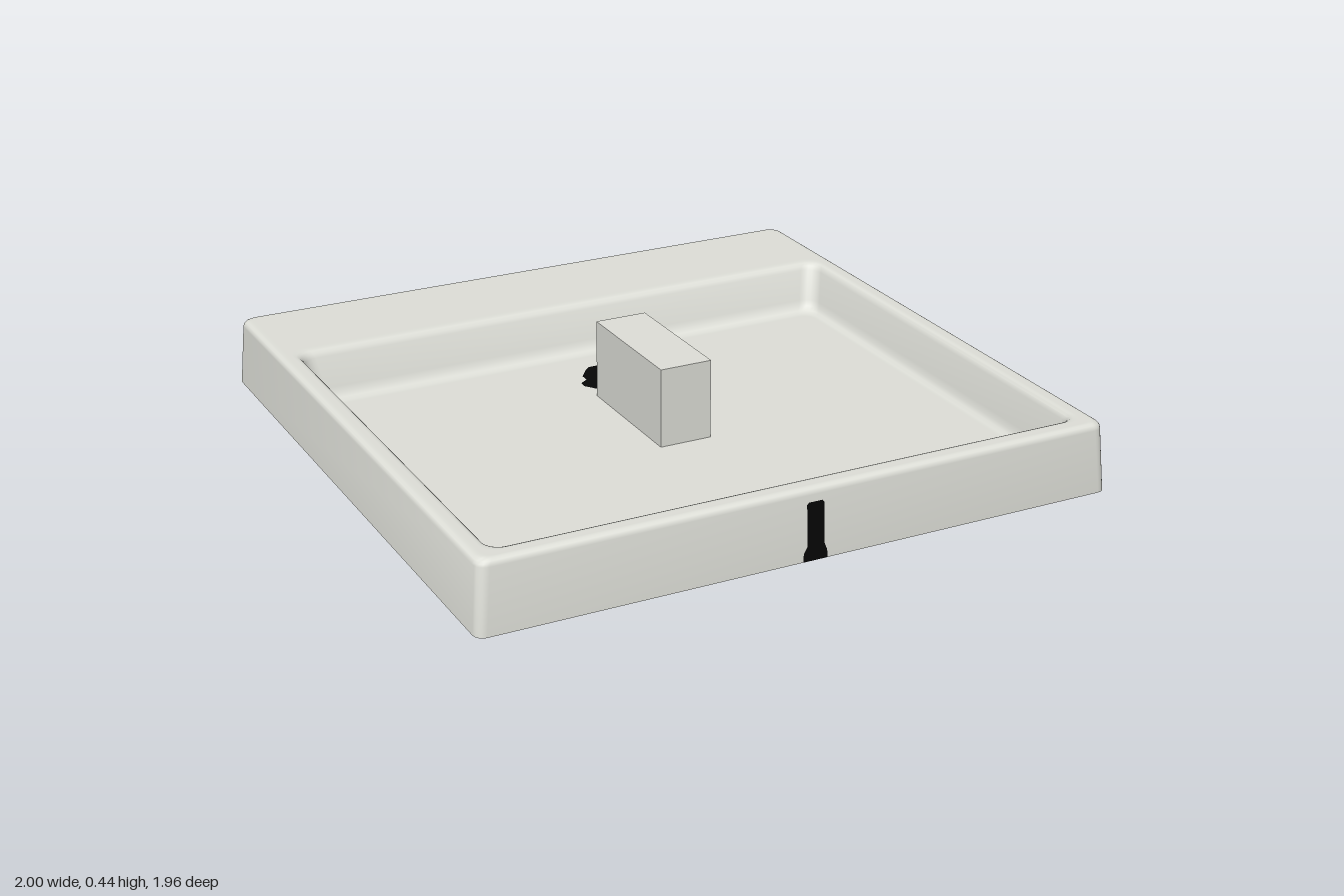
import * as THREE from 'three';
import { toCreasedNormals } from 'three/addons/utils/BufferGeometryUtils.js';

const CORNER = 6; // segments per rounded corner
const FLOOR = 0.186; // height of the basin floor

// Rounded rectangle ring at height y: [x half width, z back, z front, corner radius, y]
function ring([hx, zb, zf, r, y]) {
  const points = [];
  const centres = [[hx - r, zf - r], [r - hx, zf - r], [r - hx, zb + r], [hx - r, zb + r]];
  centres.forEach(([cx, cz], q) => {
    for (let i = 0; i <= CORNER; i++) {
      const a = (q + i / CORNER) * Math.PI / 2;
      points.push(cx + r * Math.cos(a), y, cz + r * Math.sin(a));
    }
  });
  return points;
}

// Skin a list of rings, closing the first and last with a fan
function loft(rings) {
  const n = 4 * (CORNER + 1);
  const pos = rings.flatMap(ring);
  const index = [];
  for (let k = 0; k < rings.length - 1; k++) {
    for (let i = 0; i < n; i++) {
      const a = k * n + i, b = k * n + (i + 1) % n;
      index.push(a, a + n, b, b, a + n, b + n);
    }
  }
  const end = (rings.length - 1) * n;
  const c = pos.length / 3;
  for (const r of [rings[0], rings[rings.length - 1]]) pos.push(0, r[4], (r[1] + r[2]) / 2);
  for (let i = 0; i < n; i++) {
    const j = (i + 1) % n;
    index.push(c, i, j, c + 1, end + j, end + i);
  }
  const g = new THREE.BufferGeometry();
  g.setAttribute('position', new THREE.Float32BufferAttribute(pos, 3));
  g.setIndex(index);
  return toCreasedNormals(g, 0.75);
}

function trayGeometry() {
  const rings = [[0.998, -0.978, 0.978, 0.03, 0.125]];
  // outer wall up to a rounded top edge
  for (let i = 0; i <= 4; i++) {
    const a = i / 4 * Math.PI / 2, d = 0.013 + 0.02 * (1 - Math.cos(a));
    rings.push([0.998 - d, d - 0.978, 0.978 - d, 0.035, 0.32 + 0.02 * Math.sin(a)]);
  }
  rings.push([0.955, -0.935, 0.943, 0.035, 0.34], [0.943, -0.625, 0.922, 0.05, 0.34]);
  // lip, sloping basin wall and floor cove: [inward share, height share]
  const cove = [[0, 1], [0.12, 0.985], [0.22, 0.94], [0.3, 0.86], [0.62, 0.24],
    [0.7, 0.12], [0.82, 0.04], [1, 0]];
  for (const [t, h] of cove) {
    rings.push([0.935 - 0.06 * t, -0.608 + 0.085 * t, 0.912 - 0.052 * t, 0.05,
      FLOOR + (0.34 - FLOOR) * h]);
  }
  rings.push([0.86, -0.505, 0.845, 0.04, FLOOR]);
  return loft(rings);
}

export function createModel() {
  const model = new THREE.Group();
  const ceramic = new THREE.MeshStandardMaterial({ color: 0xdedfd8, side: THREE.DoubleSide });
  const black = new THREE.MeshStandardMaterial({ color: 0x060606, side: THREE.DoubleSide });
  ceramic.name = 'light grey';
  black.name = 'black';

  const add = (name, geometry, material, x = 0, y = 0, z = 0) => {
    const mesh = new THREE.Mesh(geometry, material);
    mesh.name = name;
    mesh.position.set(x, y, z);
    model.add(mesh);
    return mesh;
  };

  add('tray', trayGeometry(), ceramic);
  const blockHeight = 0.435 - FLOOR;
  add('block', new THREE.BoxGeometry(0.167, blockHeight, 0.438), ceramic,
    -0.0015, FLOOR + blockHeight / 2, 0.0175);

  // Drain stub: black, with a bare patch on the front right of its upper part
  const deg = Math.PI / 180;
  const lathe = (profile, from, sweep) => toCreasedNormals(new THREE.LatheGeometry(
    profile.map(p => new THREE.Vector2(...p)), Math.ceil(sweep / 10), from * deg, sweep * deg), 0.7);
  const upper = [[0.092, 0.05], [0.096, 0.13]];
  add('drainBase', lathe([[0, 0], [0.075, 0], [0.083, 0.003], [0.087, 0.012], [0.092, 0.05]], 0, 360),
    black, 0, 0, -0.313);
  add('drainCollar', lathe(upper, -20, 270), black, 0, 0, -0.313);
  add('drainBarePatch', lathe(upper, 250, 90), ceramic, 0, 0, -0.313);

  // Small dark smudge on the underside beside the stub
  add('undersideMark', new THREE.CircleGeometry(0.025, 12), black, 0.065, 0.1235, -0.378)
    .rotation.x = Math.PI / 2;

  // Irregular dark drain mark on the basin floor
  const mark = [[-0.03, -0.4], [-0.01, -0.42], [0.03, -0.42], [0.055, -0.4], [0.09, -0.355],
    [0.115, -0.295], [0.09, -0.255], [0.045, -0.23], [-0.02, -0.228], [-0.065, -0.25],
    [-0.09, -0.285], [-0.088, -0.31], [-0.06, -0.33], [-0.06, -0.36]];
  const floorMark = new THREE.Shape(mark.map(([x, z]) => new THREE.Vector2(x, -z)));
  add('drainMark', new THREE.ShapeGeometry(floorMark), black, 0, FLOOR + 0.002, 0)
    .rotation.x = -Math.PI / 2;

  // Dark stripe on the front wall, leaning back with it
  const stripe = new THREE.Shape([[-0.026, 0], [-0.024, 0.025], [-0.012, 0.045], [-0.012, 0.168],
    [-0.006, 0.174], [0.036, 0.174], [0.042, 0.168], [0.042, 0.045], [0.05, 0.025],
    [0.052, 0]].map(p => new THREE.Vector2(...p)));
  add('frontStripe', new THREE.ShapeGeometry(stripe), black, 0, 0.126, 0.98)
    .rotation.x = -Math.atan(0.013 / 0.195);

  return model;
}
